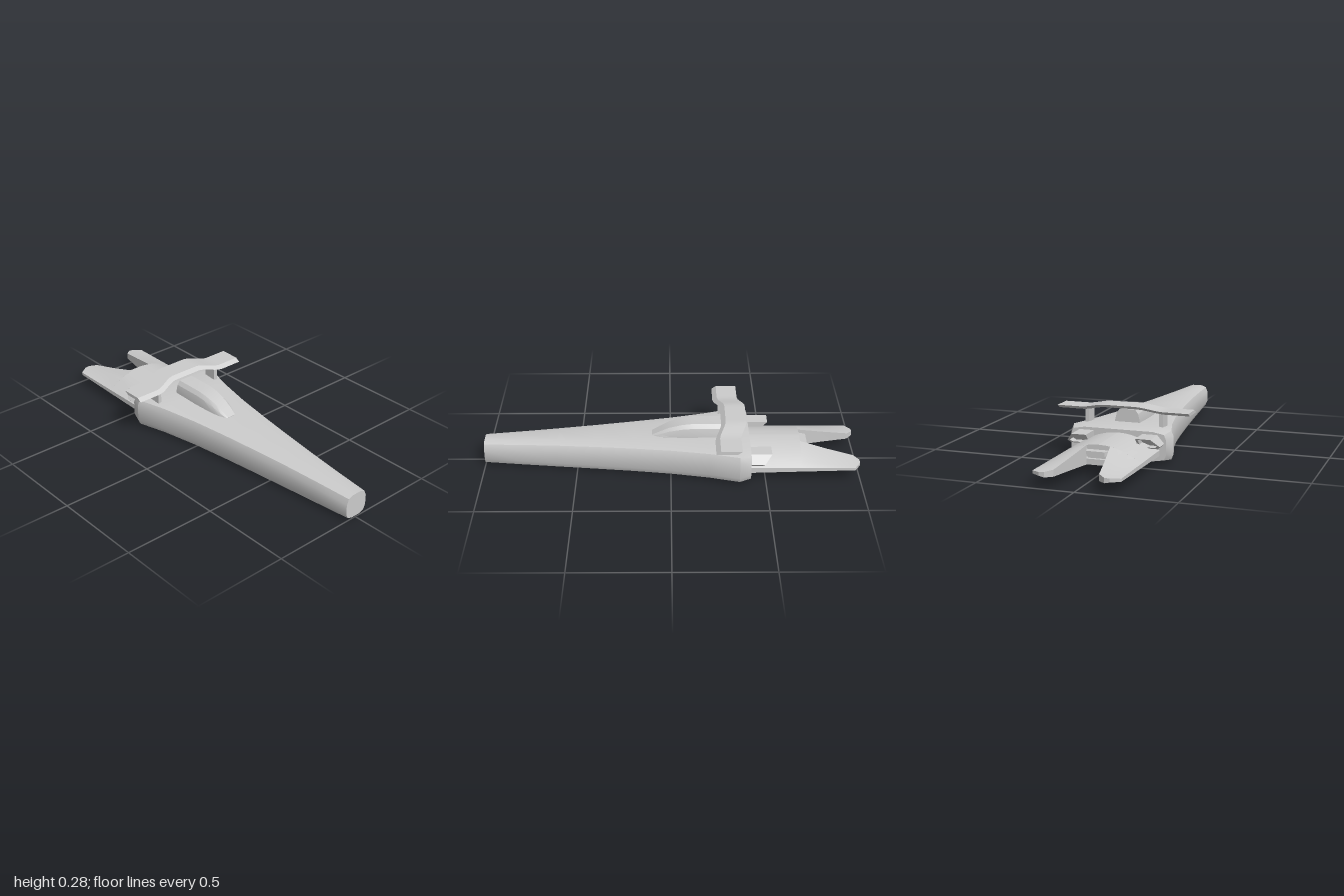
import * as THREE from 'three';
import { toCreasedNormals } from 'three/addons/utils/BufferGeometryUtils.js';

const grey = new THREE.MeshStandardMaterial({ color: 0xcccccc, side: THREE.DoubleSide });

// Closed loft through rings ordered front to back, each counter-clockwise seen from +z
function loft(rings, crease = 0.5) {
  const pos = [];
  const tri = (...pts) => pts.forEach(p => pos.push(...p));
  const n = rings[0].length;
  for (let i = 0; i < rings.length - 1; i++) {
    for (let k = 0; k < n; k++) {
      const j = (k + 1) % n, A = rings[i], B = rings[i + 1];
      tri(A[k], B[k], A[j]);
      tri(A[j], B[k], B[j]);
    }
  }
  const first = rings[0], last = rings[rings.length - 1];
  for (let k = 1; k < n - 1; k++) {
    tri(first[0], first[k], first[k + 1]);
    tri(last[0], last[k + 1], last[k]);
  }
  const g = new THREE.BufferGeometry();
  g.setAttribute('position', new THREE.Float32BufferAttribute(pos, 3));
  return toCreasedNormals(g, crease);
}

// Full ring from its right half, listed bottom to top
const mirrorRing = half => [...half, ...half.map(([x, y, z]) => [-x, y, z]).reverse()];

// Ring seen from the other side of x = 0
const flipRing = ring => ring.map(([x, y, z]) => [-x, y, z]).reverse();

// Move every vertex of a geometry by a rule
function warp(g, rule) {
  const p = g.attributes.position, v = new THREE.Vector3();
  for (let i = 0; i < p.count; i++) {
    rule(v.fromBufferAttribute(p, i));
    p.setXYZ(i, v.x, v.y, v.z);
  }
  g.computeVertexNormals();
  return g;
}

export function createModel() {
  const model = new THREE.Group();
  const add = (name, geometry) => {
    const mesh = new THREE.Mesh(geometry, grey);
    mesh.name = name;
    model.add(mesh);
    return mesh;
  };

  // Hull: z, half width, top, bottom, share of the width that is flat
  const hull = [
    [1, 0.067, 0.141, 0.01, 0.42], [0.8, 0.084, 0.148, 0.005, 0.45],
    [0.6, 0.104, 0.155, 0.003, 0.48], [0.4, 0.128, 0.161, 0.004, 0.52],
    [0.2, 0.155, 0.167, 0.006, 0.56], [0, 0.186, 0.172, 0.008, 0.6],
    [-0.2, 0.228, 0.177, 0.01, 0.66], [-0.36, 0.275, 0.181, 0.012, 0.72],
    [-0.42, 0.255, 0.171, 0.02, 0.72],
  ];
  add('hull', loft(hull.map(([z, w, t, b, f]) => mirrorRing([
    [w * f, b, z], [w - 0.012, b + 0.01, z], [w, b + 0.037, z],
    [w, t - 0.04, z], [w - 0.012, t - 0.011, z], [w * f, t, z],
  ]))));

  // Canopy: z, base half width, shoulder half width, top half width, top
  const canopy = [
    [0.1, 0.036, 0.032, 0.024, 0.172], [0.06, 0.05, 0.043, 0.03, 0.193],
    [0.01, 0.058, 0.05, 0.035, 0.218], [-0.06, 0.064, 0.056, 0.04, 0.238],
    [-0.12, 0.067, 0.058, 0.042, 0.246], [-0.28, 0.067, 0.058, 0.042, 0.246],
  ];
  add('canopy', loft(canopy.map(([z, w, s, c, t]) => mirrorRing([
    [w, 0.15, z], [w, 0.15 + (t - 0.15) * 0.4, z],
    [s, 0.15 + (t - 0.15) * 0.78, z], [c, t, z],
  ])), 0.4));

  // Raised wing, swept back as it rises
  const line = [];
  for (let i = 0; i <= 32; i++) {
    const x = -0.352 + 0.022 * i;
    line.push([x, 0.245 + 0.025 * (1 - THREE.MathUtils.smoothstep(Math.abs(x), 0.08, 0.225))]);
  }
  const wingShape = new THREE.Shape([
    ...line.map(([x, y]) => new THREE.Vector2(x, y)),
    ...line.map(([x, y]) => new THREE.Vector2(x, y + 0.017)).reverse(),
  ]);
  const wing = new THREE.ExtrudeGeometry(wingShape, { depth: 0.11, bevelEnabled: false });
  add('wing', toCreasedNormals(warp(wing, v => { v.z += -0.34 - 1.4 * (v.y - 0.245); }), 0.5));

  // Tail plate: domed on top, thin at the outer edges, split into two prongs
  const tail = [
    [-0.38, 0, 0.22], [-0.55, 0, 0.22], [-0.69, 0, 0.22], [-0.69, 0.06, 0.22],
    [-0.83, 0.088, 0.22], [-0.97, 0.113, 0.22], [-1, 0.148, 0.175],
  ];
  const tailRings = tail.map(([z, inner, outer]) => {
    const bottom = THREE.MathUtils.mapLinear(z, -0.38, -1, 0.044, 0.06);
    const dome = 0.075 * (z > -0.69 ? 1 : THREE.MathUtils.mapLinear(z, -0.69, -1, 1, 0.15));
    const ring = [[inner, bottom, z], [outer, bottom + 0.006, z]];
    for (let i = 6; i >= 0; i--) {
      const x = inner + (outer - inner) * i / 6;
      ring.push([x, 0.08 + dome * (1 - (x / 0.22) ** 2), z]);
    }
    return ring;
  });

  // Hollow exhaust with a slanted rear opening
  const outline = [[0.13, 0.1], [0.23, 0.1], [0.245, 0.115], [0.208, 0.157], [0.13, 0.157]]
    .map(([x, y]) => new THREE.Vector2(x, y));
  const centre = new THREE.Vector2(0.183, 0.129);
  const opening = outline.map(p => p.clone().lerp(centre, 0.22));
  const exhaustShape = new THREE.Shape(outline);
  exhaustShape.holes.push(new THREE.Path(opening.reverse()));
  const exhaust = (shape, rear) => warp(
    new THREE.ExtrudeGeometry(shape, { depth: 1, bevelEnabled: false }),
    v => { v.z = v.z > 0.5 ? -0.4 : rear + (0.157 - v.y) * 0.9; });

  for (const [side, s] of [['left', 1], ['right', -1]]) {
    add(side + 'TailProng', loft(s > 0 ? tailRings : tailRings.map(flipRing)));
    add(side + 'Exhaust', exhaust(exhaustShape, -0.53)).scale.x = s;
    add(side + 'ExhaustCore', exhaust(new THREE.Shape(opening), -0.485)).scale.x = s;
    add(side + 'WingStrut', new THREE.BoxGeometry(0.02, 0.09, 0.075))
      .position.set(s * 0.2, 0.21, -0.297);
  }

  // Louvred vent in the notch between the prongs
  const ventShape = new THREE.Shape([
    [-0.06, -0.68], [0.06, -0.68], [0.06, -0.695], [0.047, -0.73], [-0.047, -0.73], [-0.06, -0.695],
  ].map(([x, z]) => new THREE.Vector2(x, -z)));
  for (const [name, y, h] of [['lowerVent', 0.07, 0.022], ['upperVent', 0.108, 0.022]]) {
    const g = new THREE.ExtrudeGeometry(ventShape, { depth: h, bevelEnabled: false });
    add(name, g.rotateX(-Math.PI / 2)).position.y = y;
  }
  add('ventCore', new THREE.BoxGeometry(0.09, 0.05, 0.03)).position.set(0, 0.1, -0.695);

  return model;
}
